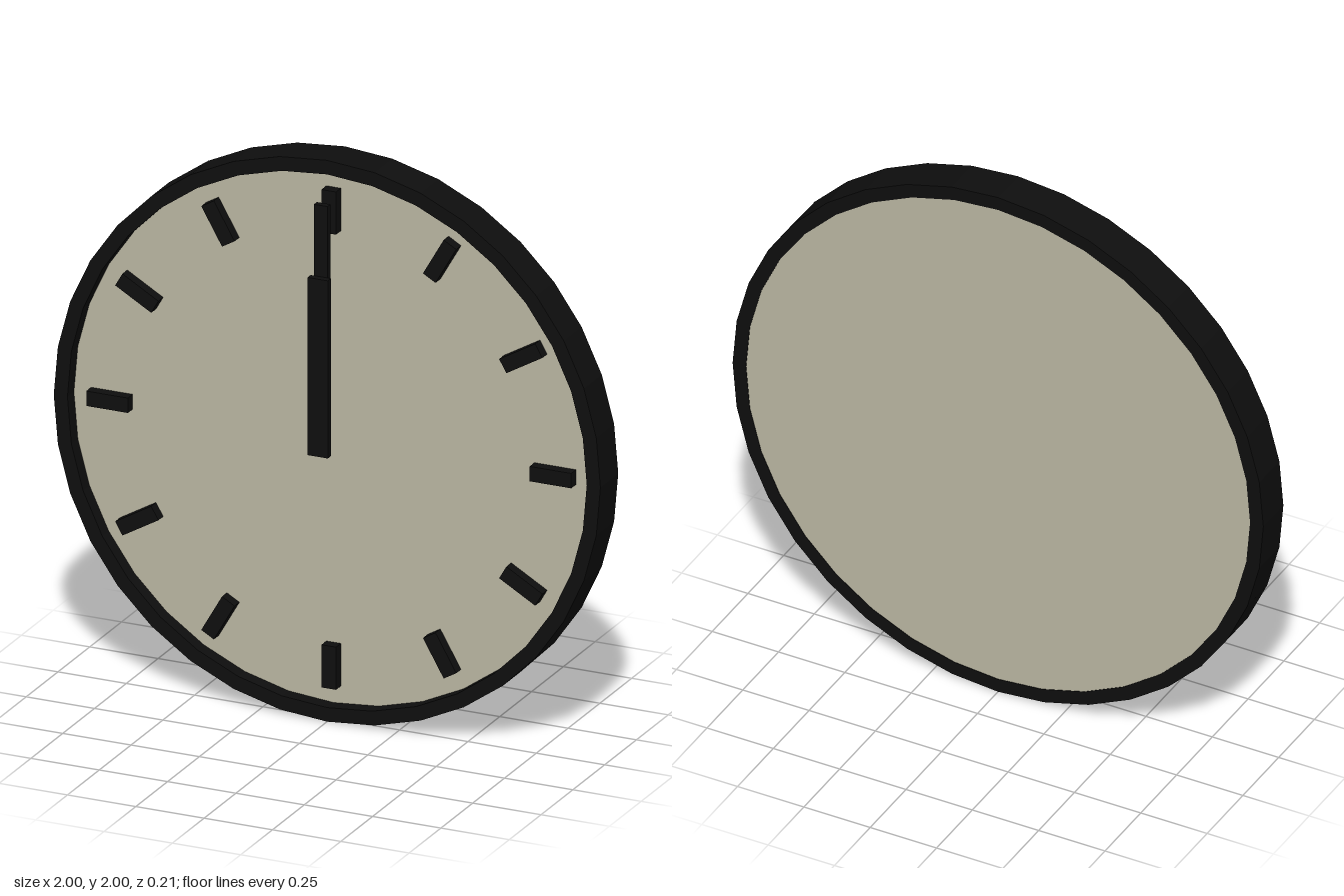
import * as THREE from 'three';

const SIDES = 36;
const OUTER = 1, INNER = 0.95;
const BACK_Z = -0.107, FRONT_Z = 0.033, FACE_Z = -0.018;

export function createModel() {
  const black = new THREE.MeshStandardMaterial({ color: 0x0e0e0e });
  black.name = 'black';
  black.flatShading = true;
  const cream = new THREE.MeshStandardMaterial({ color: 0xbab6a2 });
  cream.name = 'warm grey';
  cream.flatShading = true;

  // Everything is built around the dial centre, lifted to stand on the ground
  const clock = new THREE.Group();
  clock.name = 'wallClock';
  clock.position.y = OUTER;

  const add = (name, geometry, material, parent = clock) => {
    const mesh = new THREE.Mesh(geometry, material);
    mesh.name = name;
    parent.add(mesh);
    return mesh;
  };

  // Box given by its width, y range and z range
  const bar = (width, y0, y1, z0, z1) =>
    new THREE.BoxGeometry(width, y1 - y0, z1 - z0)
      .translate(0, (y0 + y1) / 2, (z0 + z1) / 2);

  // Rim: rectangular section turned around the z axis
  const section = [
    [OUTER, BACK_Z], [OUTER, FRONT_Z], [INNER, FRONT_Z], [INNER, BACK_Z], [OUTER, BACK_Z],
  ].map(([r, z]) => new THREE.Vector2(r, z));
  add('rim', new THREE.LatheGeometry(section, SIDES).rotateX(Math.PI / 2), black);

  // Dial: a disc set back from the front edge, nearly flush behind
  const back = BACK_Z + 0.002;
  add('dial', new THREE.CylinderGeometry(INNER, INNER, FACE_Z - back, SIDES)
    .rotateX(Math.PI / 2)
    .translate(0, 0, (FACE_Z + back) / 2), cream);

  // Twelve hour markers
  const markers = new THREE.Group();
  markers.name = 'hourMarkers';
  clock.add(markers);
  const markerGeometry = bar(0.053, 0.735, 0.887, FACE_Z - 0.005, 0.02);
  for (let i = 0; i < 12; i++) {
    add('hourMarker', markerGeometry, black, markers).rotation.z = -i * Math.PI / 6;
  }

  // Hands at twelve o'clock, the short one in front
  add('minuteHand', bar(0.05, -0.03, 0.857, 0.06, 0.083), black);
  add('hourHand', bar(0.074, -0.03, 0.603, 0.083, 0.107), black);

  const model = new THREE.Group();
  model.name = 'clock';
  model.add(clock);
  return model;
}
